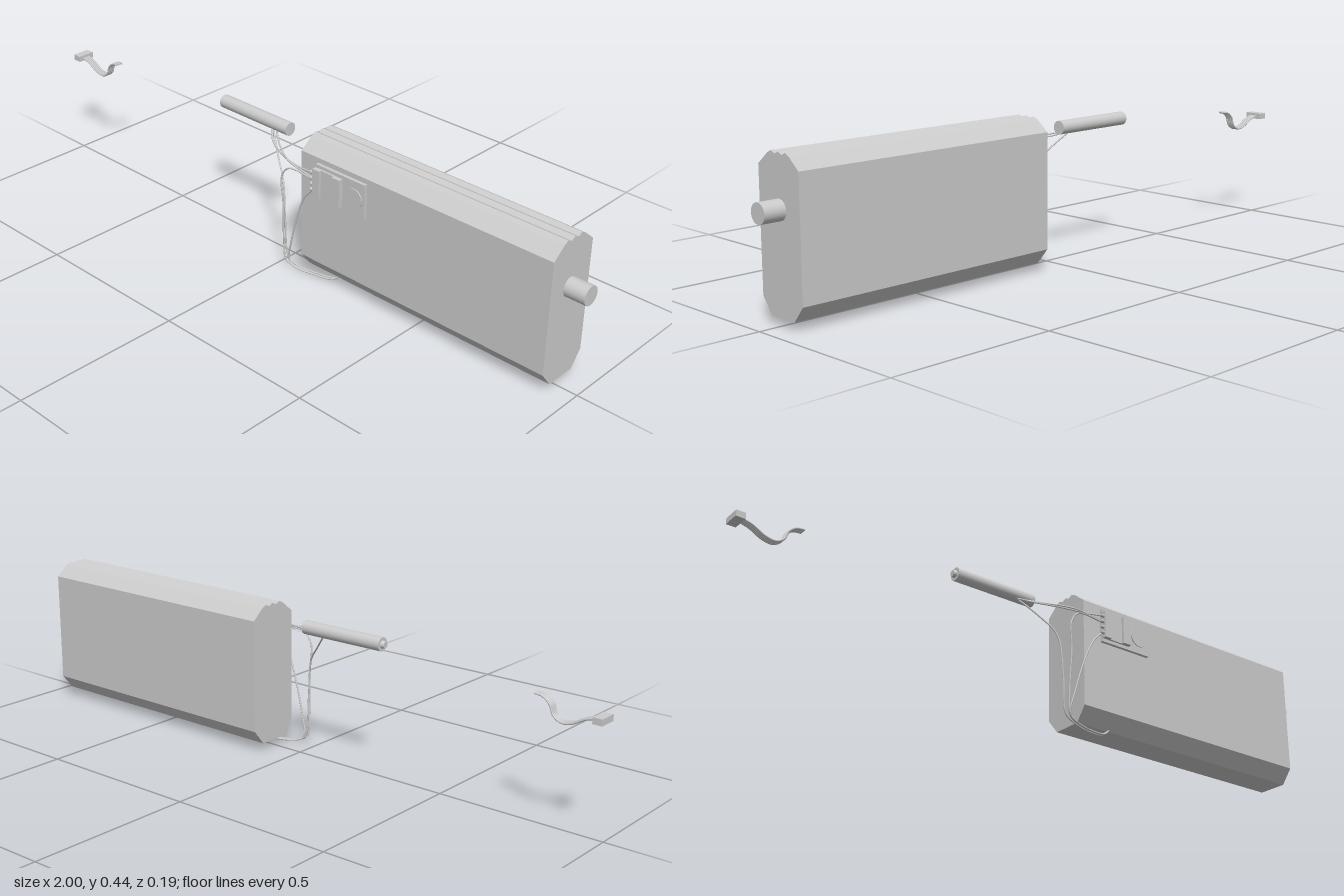
import * as THREE from 'three';

const material = new THREE.MeshStandardMaterial({ color: 0xcccccc });

function add(parent, name, geometry, x = 0, y = 0, z = 0) {
  const mesh = new THREE.Mesh(geometry, material);
  mesh.name = name;
  mesh.position.set(x, y, z);
  parent.add(mesh);
  return mesh;
}

// Box given by its two opposite corners
function block(parent, name, [x0, y0, z0], [x1, y1, z1]) {
  return add(parent, name, new THREE.BoxGeometry(x1 - x0, y1 - y0, z1 - z0),
    (x0 + x1) / 2, (y0 + y1) / 2, (z0 + z1) / 2);
}

// Cylinder lying along x
function rod(parent, name, x0, x1, y, z, r0, r1 = r0) {
  const geometry = new THREE.CylinderGeometry(r1, r0, x1 - x0, 32).rotateZ(-Math.PI / 2);
  return add(parent, name, geometry, (x0 + x1) / 2, y, z);
}

function wire(parent, name, points, radius = 0.0025) {
  const curve = new THREE.CatmullRomCurve3(points.map(p => new THREE.Vector3(...p)), false, 'centripetal');
  return add(parent, name, new THREE.TubeGeometry(curve, 60, radius, 8));
}

export function createModel() {
  const model = new THREE.Group();

  // Main housing: chamfered section with a ridged top, as [z, y]
  const section = [[0.07, 0.405], [0.07, 0.07], [0.035, 0.025], [-0.058, 0.025], [-0.095, 0.07],
    [-0.095, 0.405], [-0.058, 0.436], [-0.043, 0.444], [-0.029, 0.437], [-0.014, 0.444],
    [0.001, 0.437], [0.016, 0.444], [0.03, 0.437]];
  const shape = new THREE.Shape(section.map(([z, y]) => new THREE.Vector2(-z, y)));
  const body = new THREE.ExtrudeGeometry(shape, { depth: 0.845, bevelEnabled: false });
  add(model, 'housing', body.rotateY(Math.PI / 2), 0.092);
  rod(model, 'endBoss', 0.93, 1, 0.3, -0.012, 0.028);

  // Circuit board with terminals and a round component
  const board = new THREE.Group();
  board.name = 'controlBoard';
  model.add(board);
  block(board, 'plate', [0.155, 0.285, 0.068], [0.335, 0.39, 0.08]);
  block(board, 'chip', [0.18, 0.295, 0.08], [0.226, 0.38, 0.086]);
  block(board, 'terminalStrip', [0.155, 0.295, 0.08], [0.18, 0.38, 0.094]);
  block(board, 'connectorStrip', [0.226, 0.295, 0.08], [0.255, 0.38, 0.094]);
  add(board, 'roundComponent', new THREE.CylinderGeometry(0.03, 0.03, 0.006, 32).rotateX(Math.PI / 2),
    0.297, 0.337, 0.08);
  for (let i = 0; i < 4; i++) rod(board, 'terminalPin', 0.143, 0.157, 0.31 + i * 0.018, 0.086, 0.005);

  // Separate cylindrical probe
  rod(model, 'probe', -0.308, -0.036, 0.395, -0.016, 0.02);
  rod(model, 'probeTip', -0.318, -0.306, 0.395, -0.016, 0.009, 0.012);

  // Leads between the probe, the board and the underside of the housing
  const under = dz => [[0.055, 0.014, 0.065 + dz], [0.12, 0.006, 0.05 + dz],
    [0.19, 0.013, 0.037 + dz], [0.21, 0.03, 0.033 + dz]];
  wire(model, 'probeLead', [[-0.1, 0.382, -0.008], [-0.06, 0.365, 0.03], [0.02, 0.358, 0.065],
    [0.09, 0.357, 0.08], [0.15, 0.364, 0.086]]);
  wire(model, 'probeLead', [[-0.085, 0.382, -0.008], [-0.03, 0.37, 0.035], [0.05, 0.36, 0.078],
    [0.15, 0.346, 0.086]]);
  wire(model, 'longLead', [[-0.095, 0.38, -0.006], [-0.04, 0.325, 0.03], [0.005, 0.27, 0.055],
    [0.02, 0.15, 0.063], [0.03, 0.03, 0.06], ...under(-0.008)]);
  wire(model, 'longLead', [[0.15, 0.343, 0.086], [0.06, 0.344, 0.088], [0.032, 0.31, 0.088],
    [0.034, 0.22, 0.085], [0.03, 0.1, 0.079], [0.035, 0.025, 0.074], ...under(0)]);
  wire(model, 'longLead', [[0.15, 0.31, 0.086], [0.115, 0.27, 0.083], [0.085, 0.2, 0.078],
    [0.055, 0.1, 0.073], [0.04, 0.03, 0.068], ...under(0.003)]);

  // Loose plug with a ribbon of wires
  const plug = new THREE.Group();
  plug.name = 'loosePlug';
  model.add(plug);
  block(plug, 'plugBody', [-1, 0.324, -0.045], [-0.972, 0.342, 0.01]);
  for (let i = 0; i < 4; i++) {
    const z = -0.026 + i * 0.0065;
    wire(plug, 'ribbonWire', [[-0.975, 0.333, z], [-0.945, 0.325, z], [-0.905, 0.305, z], [-0.875, 0.301, z],
      [-0.852, 0.315, z], [-0.84, 0.342, z], [-0.82, 0.358, z], [-0.795, 0.362, z]], 0.003);
  }
  return model;
}
